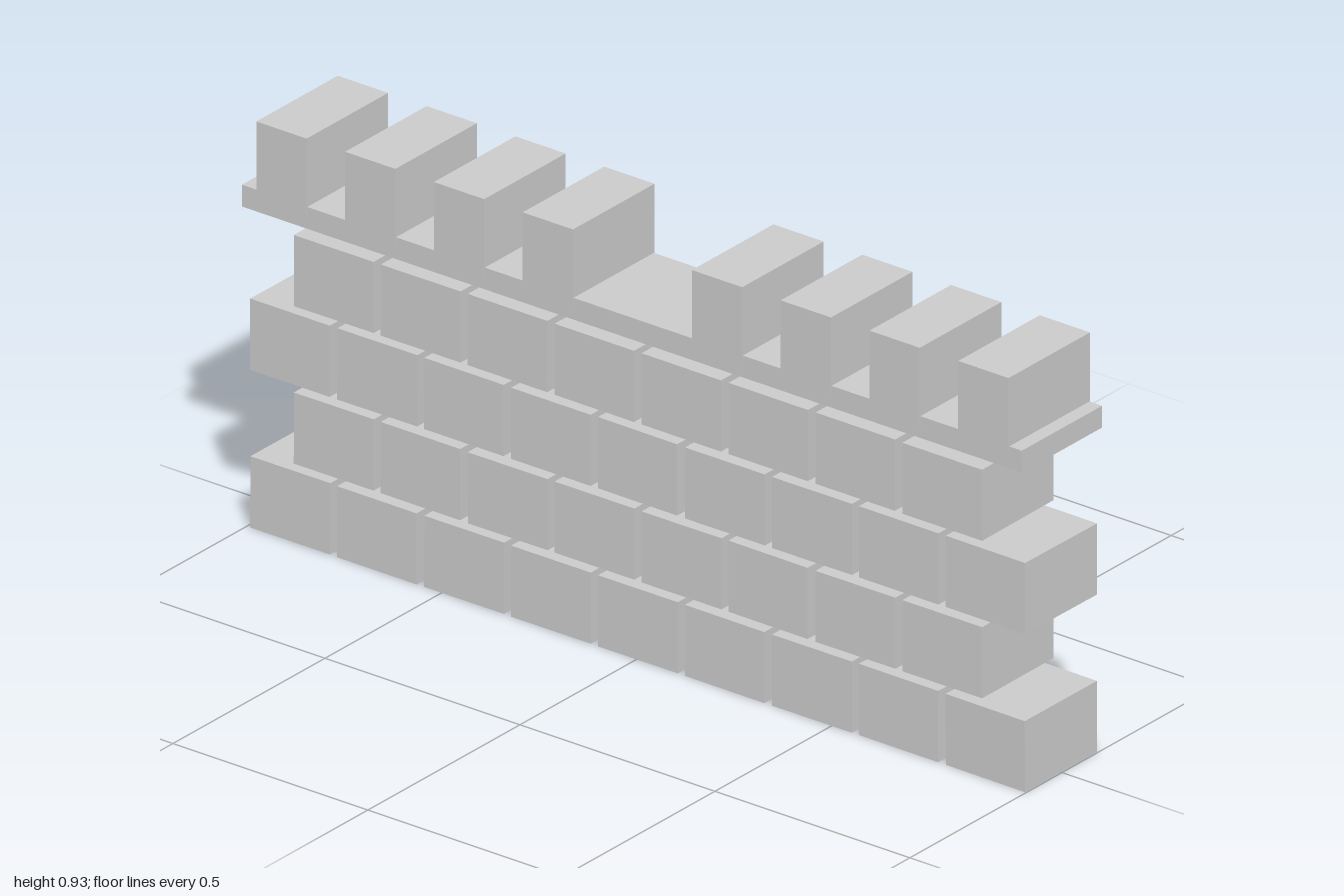
import * as THREE from 'three';

export function createModel() {
  const group = new THREE.Group();
  group.name = 'battlementWall';
  const material = new THREE.MeshStandardMaterial({ color: 0xcccccc, flatShading: true });

  // Small seeded generator for hand-laid unevenness
  let seed = 7;
  const jitter = (amount) => {
    seed = (seed * 16807) % 2147483647;
    return (seed / 2147483647 - 0.5) * 2 * amount;
  };

  function block(name, parent, size, position) {
    const mesh = new THREE.Mesh(new THREE.BoxGeometry(...size), material);
    mesh.name = name;
    mesh.position.set(...position);
    parent.add(mesh);
    return mesh;
  }

  // Four courses of loose bricks in running bond: 9, 8, 9, 8
  const pitch = 0.223;
  for (let row = 0; row < 4; row++) {
    const course = new THREE.Group();
    course.name = 'brickCourse' + (row + 1);
    const count = row % 2 ? 8 : 9;
    for (let i = 0; i < count; i++) {
      const z = 0.004 + ((count - 1) / 2 - i) * pitch;
      const brick = block('brick', course, [0.235, 0.16, 0.204], [0, 0.083 + row * 0.1773, z]);
      brick.rotation.set(0, jitter(0.008), jitter(0.006));
    }
    group.add(course);
  }

  // Coping slab carrying the battlements
  block('copingSlab', group, [0.264, 0.049, 2], [0, 0.752, 0]);

  // Four merlons on each side of the wide central gap
  const merlons = new THREE.Group();
  merlons.name = 'merlons';
  for (const side of [1, -1]) {
    for (let i = 0; i < 4; i++) {
      block('merlon', merlons, [0.268, 0.177, 0.129], [0, 0.8425, 0.003 + side * (0.217 + i * 0.2277)]);
    }
  }
  group.add(merlons);

  return group;
}
